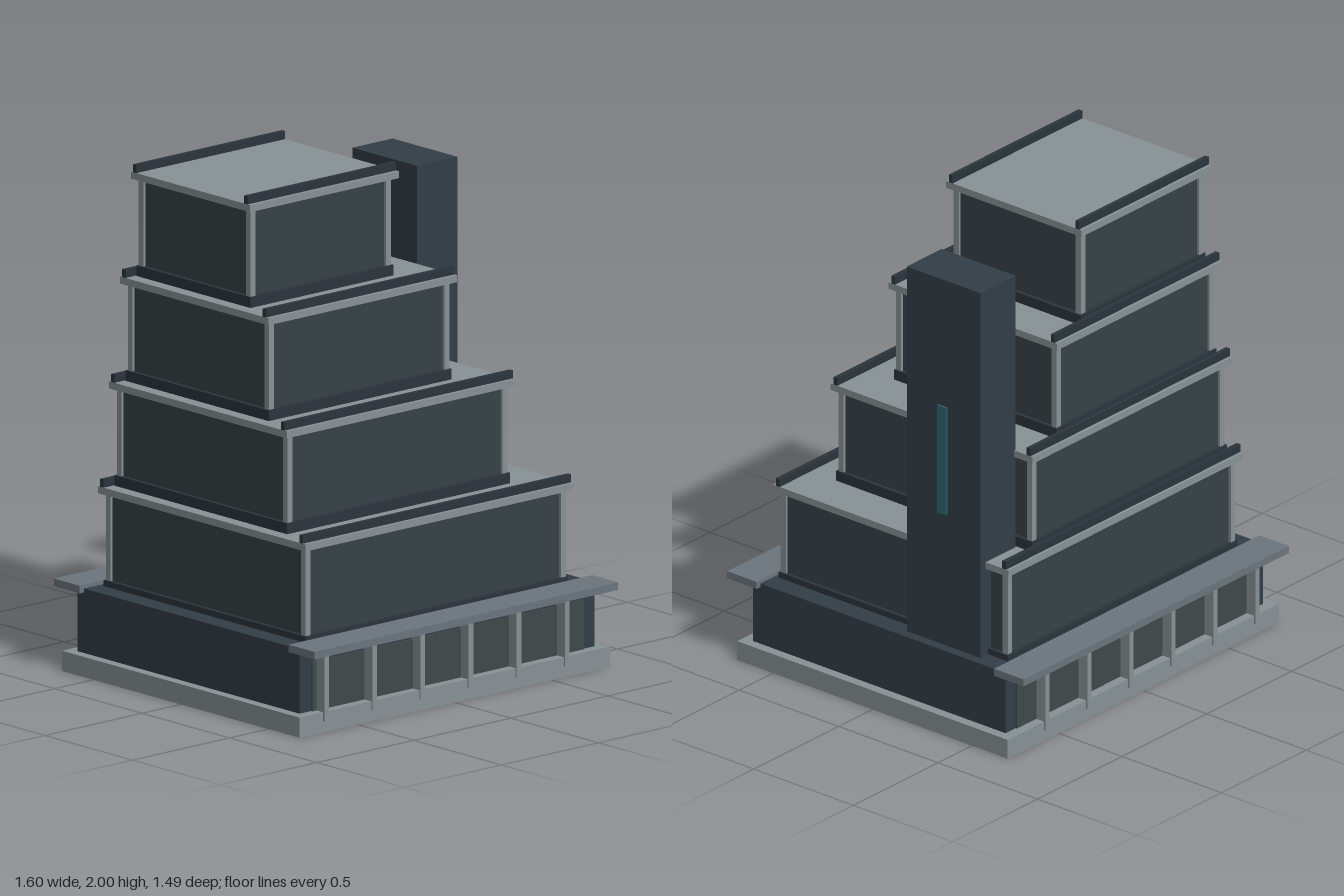
import * as THREE from 'three';

const paint = (color) => new THREE.MeshStandardMaterial({ color });

export function createModel() {
  const concrete = paint(0x879194);
  const canopyGrey = paint(0x6b757d);
  const slate = paint(0x323d47);
  const darkTrim = paint(0x2b343c);
  const glass = paint(0x364145);
  const lobbyGlass = paint(0x40484a);
  const teal = paint(0x2b6570);

  // Box given by its extents along each axis
  function box(parent, name, material, [x0, x1], [y0, y1], [z0, z1]) {
    const geometry = new THREE.BoxGeometry(x1 - x0, y1 - y0, z1 - z0);
    const mesh = new THREE.Mesh(geometry, material);
    mesh.position.set((x0 + x1) / 2, (y0 + y1) / 2, (z0 + z1) / 2);
    mesh.name = name;
    parent.add(mesh);
  }

  const model = new THREE.Group();
  model.name = 'terracedBuilding';

  // Plinth and ground floor
  box(model, 'plinth', concrete, [-0.8, 0.8], [0, 0.08], [-0.68, 0.68]);
  box(model, 'lobby', slate, [-0.76, 0.76], [0.08, 0.335], [-0.635, 0.635]);

  // Glazing, fins and canopy on the front and back of the lobby
  for (const side of [1, -1]) {
    const facade = new THREE.Group();
    facade.name = side > 0 ? 'frontFacade' : 'backFacade';
    const depth = (a, b) => (side > 0 ? [a, b] : [-b, -a]);
    box(facade, 'lobbyGlazing', lobbyGlass, [-0.7, 0.7], [0.08, 0.275], depth(0.62, 0.642));
    for (let i = 0; i < 6; i++) {
      const x = -0.667 + i * 0.248;
      box(facade, 'fin', concrete, [x - 0.012, x + 0.012], [0.045, 0.325], depth(0.63, 0.686));
    }
    box(facade, 'canopy', canopyGrey, [-0.783, 0.783], [0.32, 0.35], depth(0.597, 0.745));
    model.add(facade);
  }

  // Four storeys, each stepping back mostly from the front and left
  for (let i = 0; i < 4; i++) {
    const tier = new THREE.Group();
    tier.name = `tier${i + 1}`;
    const x = [-0.694 + 0.037 * i, 0.69 - 0.169 * i];
    const z = [-0.59 + 0.0215 * i, 0.594 - 0.146 * i];
    const top = 0.73 + 0.4127 * i;
    const base = top - 0.4127;
    const inset = ([a, b], d) => [a + d, b - d];

    box(tier, 'baseBand', darkTrim, inset(x, 0.015), [base, base + 0.042], inset(z, 0.015));
    box(tier, 'glassWalls', glass, inset(x, 0.032), [base, top - 0.025], inset(z, 0.032));
    box(tier, 'roofSlab', concrete, x, [top - 0.028, top], z);

    // Corner posts
    const [px0, px1] = inset(x, 0.021);
    const [pz0, pz1] = inset(z, 0.021);
    for (const px of [px0, px1 - 0.026]) {
      for (const pz of [pz0, pz1 - 0.026]) {
        box(tier, 'cornerPost', concrete, [px, px + 0.026], [base + 0.03, top - 0.02], [pz, pz + 0.026]);
      }
    }

    // Parapets along the front and back roof edges
    for (const pz of [z[0] + 0.012, z[1] - 0.034]) {
      box(tier, 'parapet', darkTrim, x, [top, top + 0.032], [pz, pz + 0.019]);
    }
    model.add(tier);
  }

  // Service tower with its window strip
  const tower = new THREE.Group();
  tower.name = 'serviceTower';
  box(tower, 'towerShaft', slate, [0.513, 0.72], [0.33, 1.88], [-0.475, -0.105]);
  box(tower, 'towerWindow', teal, [0.71, 0.727], [0.89, 1.345], [-0.31, -0.262]);
  model.add(tower);

  return model;
}
